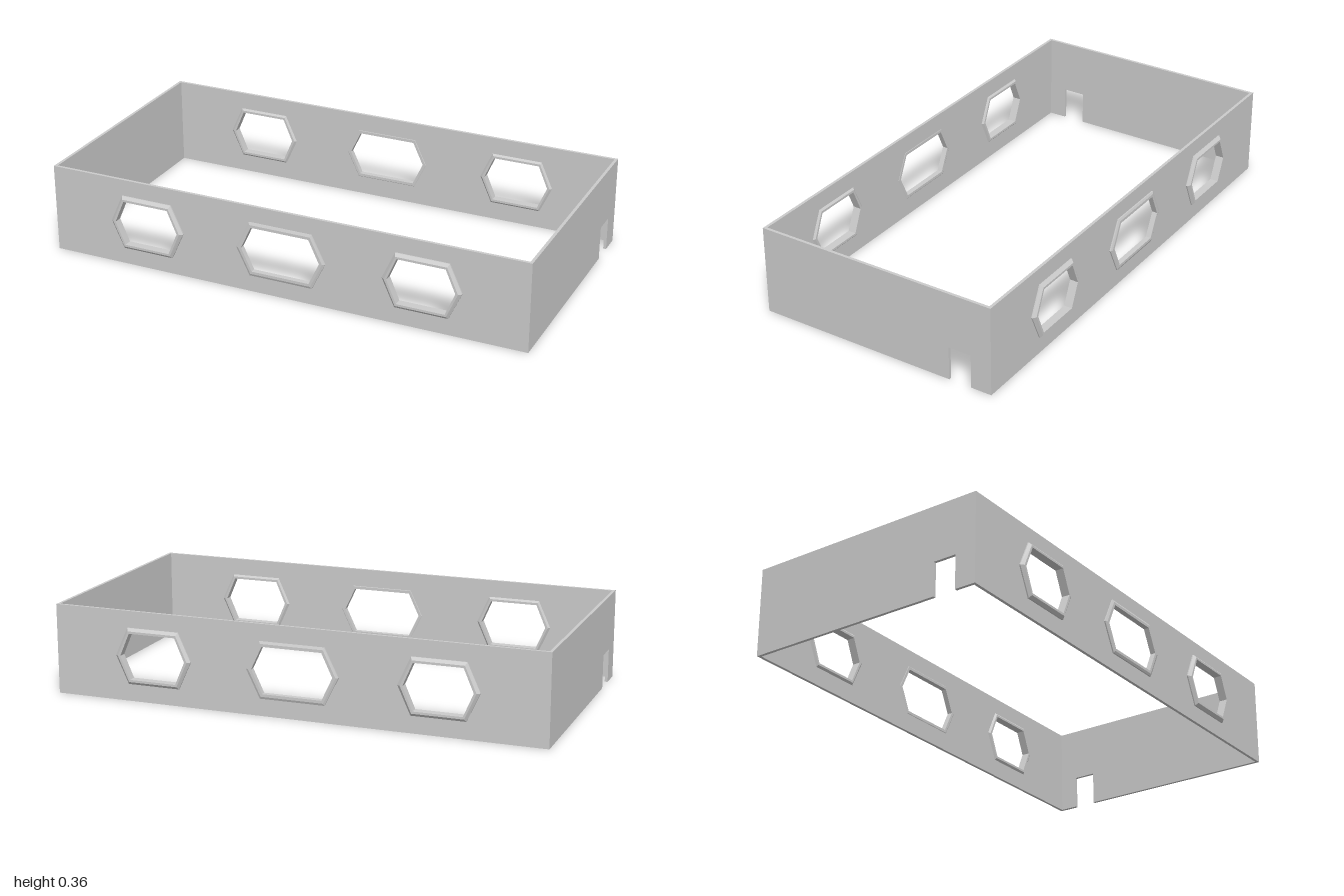
import * as THREE from 'three';

const H = 0.363, MID_Y = 0.183, HALF_Z = 0.506, WALL = 0.012;
const material = new THREE.MeshStandardMaterial({ color: 0xcccccc, flatShading: true });

// Elongated hexagon corners, counter-clockwise, grown outwards by an offset
function hexCorners({ x, tip, flat, half }, off = 0) {
  const t = tip + off * 1.15, f = flat + off * 0.55, h = half + off;
  return [[t, 0], [f, h], [-f, h], [-t, 0], [-f, -h], [f, -h]]
    .map(([px, py]) => new THREE.Vector2(x + px, MID_Y + py));
}

// Window frame: a closed cross-section of [offset, z] swept round the hexagon
function hexFrame(win) {
  const rings = win.section.map(([off, z]) =>
    hexCorners(win, off).map(p => [p.x, p.y, z]));
  const pos = [];
  for (let j = 0; j < rings.length; j++) {
    const r0 = rings[j], r1 = rings[(j + 1) % rings.length];
    for (let i = 0; i < 6; i++) {
      const k = (i + 1) % 6;
      pos.push(...r0[i], ...r1[i], ...r1[k], ...r0[i], ...r1[k], ...r0[k]);
    }
  }
  const geo = new THREE.BufferGeometry();
  geo.setAttribute('position', new THREE.Float32BufferAttribute(pos, 3));
  geo.computeVertexNormals();
  return geo;
}

function addMesh(parent, geo, name) {
  const mesh = new THREE.Mesh(geo, material);
  mesh.name = name;
  parent.add(mesh);
  return mesh;
}

const extrude = shape => new THREE.ExtrudeGeometry(shape, { depth: WALL, bevelEnabled: false });
const polygon = pts => new THREE.Shape(pts.map(p => new THREE.Vector2(...p)));

// Frames of the outer windows stand proud; the middle one is shallower and wider
const sideSection = [[0, -0.017], [0, 0.017], [0.009, 0.017], [0.02, 0.007], [0.02, -0.007], [0.009, -0.017]];
const middleSection = [[0, -0.011], [0, 0.011], [0.011, 0.011], [0.02, 0.007], [0.02, -0.007], [0.011, -0.011]];
const windows = [
  ...[-1, 1].map(s => ({ x: s * 0.58, tip: 0.137, flat: 0.097, half: 0.093, section: sideSection })),
  { x: 0, tip: 0.165, flat: 0.121, half: 0.093, section: middleSection },
];

// Long wall with three hexagonal windows
function longWall() {
  const group = new THREE.Group();
  const shape = polygon([[-1, 0], [1, 0], [1, H], [-1, H]]);
  for (const win of windows) shape.holes.push(new THREE.Path(hexCorners(win).reverse()));
  addMesh(group, extrude(shape), 'longPanel').position.z = HALF_Z - WALL;
  for (const win of windows)
    addMesh(group, hexFrame(win), 'windowFrame').position.z = HALF_Z - WALL / 2 + 0.004;
  return group;
}

// Short wall with a notch in its bottom edge
function endWall() {
  const group = new THREE.Group(), w = HALF_Z - WALL;
  const shape = polygon([[-w, 0], [0.325, 0], [0.325, 0.137], [0.42, 0.137], [0.42, 0], [w, 0], [w, H], [-w, H]]);
  const mesh = addMesh(group, extrude(shape), 'notchedPanel');
  mesh.rotation.y = Math.PI / 2;
  mesh.position.x = 1 - WALL;
  return group;
}

export function createModel() {
  const model = new THREE.Group();
  model.name = 'openFrame';
  // The two halves match by a half turn about the vertical axis
  [['frontWall', 'leftWall'], ['backWall', 'rightWall']].forEach(([longName, endName], i) => {
    const half = new THREE.Group();
    half.name = i ? 'backHalf' : 'frontHalf';
    const wall = longWall(), end = endWall();
    wall.name = longName;
    end.name = endName;
    half.add(wall, end);
    half.rotation.y = i * Math.PI;
    model.add(half);
  });
  return model;
}
